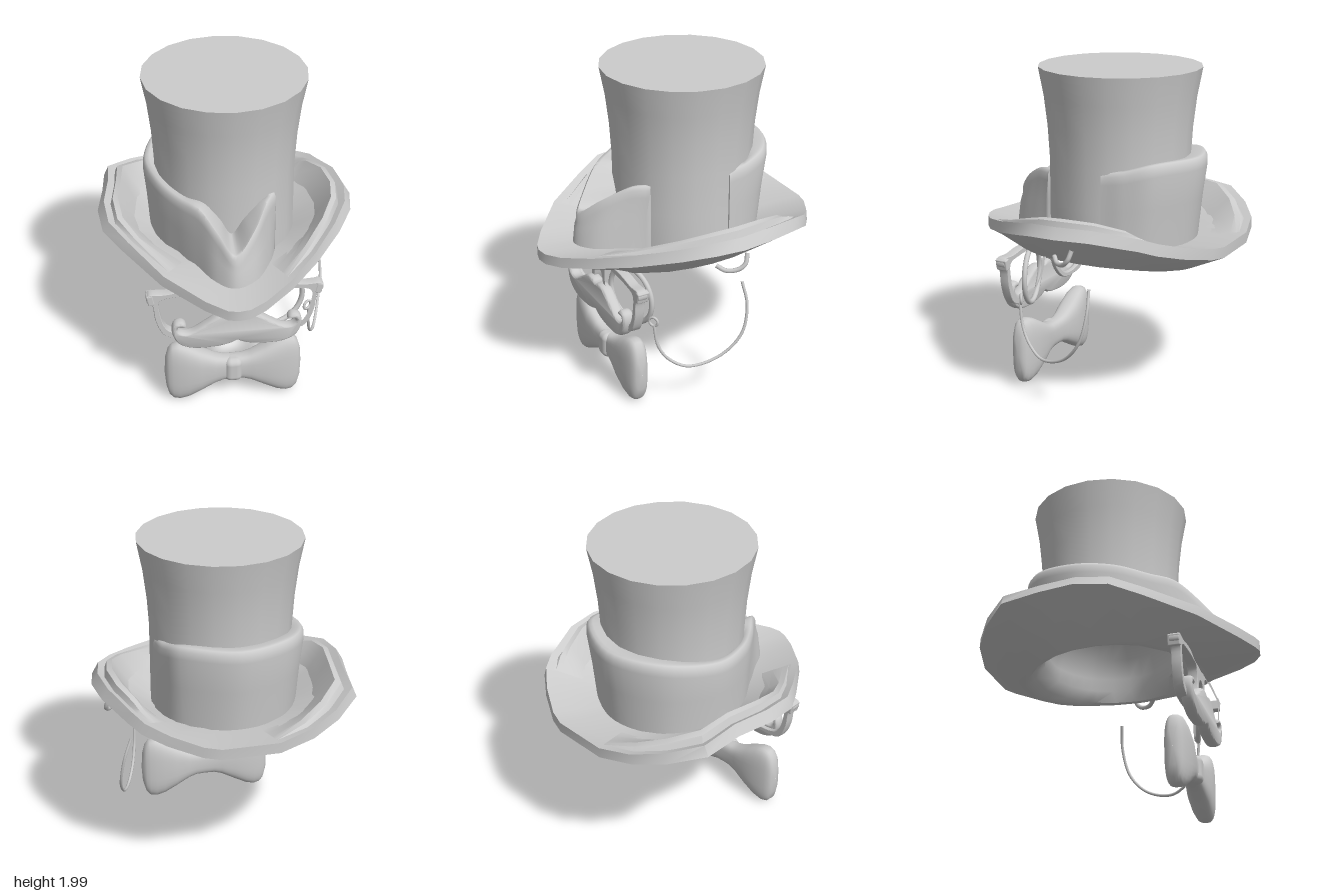
import * as THREE from 'three';
import { toCreasedNormals } from 'three/addons/utils/BufferGeometryUtils.js';
import { RoundedBoxGeometry } from 'three/addons/geometries/RoundedBoxGeometry.js';

const V = (x, y, z) => new THREE.Vector3(x, y, z);
const solid = new THREE.MeshStandardMaterial({ color: 0xcccccc });
const open = new THREE.MeshStandardMaterial({ color: 0xcccccc, side: THREE.DoubleSide });
const CZ = -0.09; // z of the crown axis

// Skin between rows of points that all have the same length
function loft(rows, closed, crease = 0.7) {
  const n = rows[0].length, index = [];
  const pos = rows.flatMap(r => r.flatMap(p => [p.x, p.y, p.z]));
  for (let i = 0; i < rows.length - 1; i++) {
    for (let j = 0; j < (closed ? n : n - 1); j++) {
      const a = i * n + j, b = i * n + (j + 1) % n, c = b + n, d = a + n;
      index.push(a, b, c, a, c, d);
    }
  }
  const g = new THREE.BufferGeometry();
  g.setAttribute('position', new THREE.Float32BufferAttribute(pos, 3));
  g.setIndex(index);
  return toCreasedNormals(g, crease);
}

// Mirrored smooth outline from half a profile (top centre to bottom centre)
function mirroredShape(half) {
  const pts = half.map(([x, y]) => new THREE.Vector2(x, y));
  const right = new THREE.SplineCurve(pts).getPoints(pts.length * 4);
  const left = right.slice(1, -1).reverse().map(p => new THREE.Vector2(-p.x, p.y));
  return new THREE.Shape([...right, ...left]);
}

export function createModel() {
  const model = new THREE.Group();
  const group = name => {
    const g = new THREE.Group();
    g.name = name;
    model.add(g);
    return g;
  };
  const add = (name, geo, mat = solid, parent = model) => {
    const m = new THREE.Mesh(geo, mat);
    m.name = name;
    parent.add(m);
    return m;
  };
  const tube = (pts, r, seg) =>
    new THREE.TubeGeometry(new THREE.CatmullRomCurve3(pts.map(p => V(...p))), seg, r, 8);

  const hat = group('hat');

  // Flared crown
  const crown = [[0.425, 0.97], [0.425, 1.2], [0.425, 1.45], [0.437, 1.65], [0.458, 1.83], [0.49, 2], [0, 2]]
    .map(([r, y]) => new THREE.Vector2(r, y));
  add('crown', toCreasedNormals(new THREE.LatheGeometry(crown, 20), 0.7), open, hat).position.z = CZ;

  // Brim edge as [x, z, y of the upper edge], from the front round by the left
  const edge = [
    [-0.04, 0.85, 0.98], [0.03, 0.84, 0.98], [0.13, 0.785, 0.99], [0.3, 0.66, 1.03], [0.48, 0.48, 1.08],
    [0.65, 0.27, 1.14], [0.75, 0.1, 1.18], [0.78, -0.07, 1.19], [0.75, -0.28, 1.19], [0.67, -0.46, 1.16],
    [0.64, -0.53, 1.15], [0.58, -0.62, 1.12], [0.45, -0.72, 1.08], [0.27, -0.82, 1.04], [0.17, -0.85, 1.03],
    [-0.17, -0.85, 1.03], [-0.38, -0.8, 1.07], [-0.56, -0.69, 1.11], [-0.72, -0.53, 1.16], [-0.74, -0.3, 1.19],
    [-0.78, -0.07, 1.19], [-0.76, 0.13, 1.17], [-0.65, 0.3, 1.13], [-0.45, 0.57, 1.06], [-0.22, 0.76, 1.0],
    [-0.1, 0.835, 0.98]];
  const around = fn => edge.map(([x, z, y]) => fn(Math.atan2(x, z - CZ), x, z, y));
  const oval = (rx, rz, cz, y, lift = 0) => around(a =>
    V(rx * Math.sin(a), y + lift * Math.sin(a) ** 2, cz + rz * Math.cos(a)));
  const inner = oval(0.42, 0.42, CZ, 0.975);
  const top = around((a, x, z, y) => V(x - 0.04 * Math.abs(Math.sin(a)) * Math.sin(a), y, z));
  add('brim', loft([
    oval(0.001, 0.001, CZ, 1.32), oval(0.16, 0.16, CZ, 1.31), oval(0.28, 0.28, CZ, 1.26), oval(0.36, 0.36, CZ, 1.16),
    oval(0.395, 0.395, CZ, 1.04), oval(0.405, 0.405, CZ, 0.96), oval(0.43, 0.49, -0.06, 0.89),
    oval(0.45, 0.54, -0.05, 0.85, 0.035), oval(0.475, 0.57, -0.05, 0.842, 0.058),
    around((a, x, z, y) => V(x, y - 0.065, z)), top,
    top.map((p, i) => p.clone().lerp(inner[i], 0.35)), inner
  ], true), open, hat);

  // Rolled folds lying on both sides of the brim, fading out at their ends
  for (const [from, to] of [[3, 11], [15, 23]]) {
    const row = (t, lift) => top.slice(from, to + 1).map((p, i) => {
      const q = p.clone().lerp(inner[from + i], t);
      q.y += 0.004 + lift * Math.sin(Math.PI * i / (to - from));
      return q;
    });
    add('brimFold', loft([row(0.12, -0.01), row(0.17, 0.05), row(0.27, 0.08), row(0.45, 0.03), row(0.62, -0.02)],
      false, 0.5), open, hat);
  }

  // Wrapped band with a pinched front: [angle, top y, top radius, bottom radius]
  const band = [
    [-258, 1.44, 0.43, 0.43], [-240, 1.46, 0.465, 0.45], [-220, 1.5, 0.51, 0.465], [-180, 1.5, 0.535, 0.48],
    [-140, 1.49, 0.52, 0.475], [-100, 1.44, 0.495, 0.46], [-70, 1.42, 0.47, 0.455], [-42, 1.39, 0.48, 0.47],
    [-24, 1.38, 0.53, 0.55], [-11, 1.28, 0.62, 0.67], [-2, 1.18, 0.7, 0.72], [9, 1.28, 0.62, 0.67],
    [23, 1.37, 0.5, 0.54], [36, 1.38, 0.44, 0.44]];
  const bandRow = fn => {
    const pts = band.map(b => {
      const [r, y] = fn(b), a = THREE.MathUtils.degToRad(b[0]);
      return V(r * Math.sin(a), y, CZ + r * Math.cos(a));
    });
    const row = new THREE.CatmullRomCurve3(pts).getPoints(78);
    const tuck = p => V(p.x * 0.92, p.y, CZ + (p.z - CZ) * 0.92);
    return [tuck(row[0]), ...row, tuck(row[78])];
  };
  add('hatBand', loft([
    bandRow(b => [b[3], 0.97]),
    bandRow(b => [(b[2] + b[3]) / 2, (b[1] + 0.97) / 2]),
    bandRow(b => [b[2], b[1] - 0.07]),
    bandRow(b => [b[2] - 0.003, b[1] - 0.025]),
    bandRow(b => [b[2] - 0.018, b[1] - 0.002]),
    bandRow(b => [b[2] - 0.04, b[1]]),
    bandRow(b => [0.41, b[1] - 0.02])
  ], false, 1.1), open, hat);

  // Hook under the brim
  add('cordHook', tube([[0.61, 0.97, 0.02], [0.65, 0.945, -0.02], [0.69, 0.955, -0.08],
    [0.705, 0.99, -0.12], [0.69, 1.05, -0.14]], 0.014, 20), solid, hat);

  // Spectacle frame with two lens openings
  const glasses = group('glasses');
  glasses.position.x = -0.008;
  const frame = mirroredShape([[0, 0.845], [0.05, 0.85], [0.1, 0.87], [0.3, 0.873], [0.42, 0.858], [0.51, 0.86],
    [0.525, 0.82], [0.49, 0.78], [0.475, 0.67], [0.43, 0.565], [0.35, 0.535], [0.2, 0.54], [0.11, 0.61],
    [0.065, 0.69], [0.045, 0.76], [0, 0.785]]);
  const lens = [[0.11, 0.835], [0.2, 0.845], [0.35, 0.84], [0.455, 0.815], [0.455, 0.72], [0.415, 0.6],
    [0.34, 0.56], [0.21, 0.562], [0.13, 0.625], [0.09, 0.71], [0.09, 0.8]];
  for (const s of [1, -1]) {
    const loop = new THREE.CatmullRomCurve3(lens.map(([x, y]) => V(s * x, y, 0)), true).getPoints(44);
    frame.holes.push(new THREE.Path(loop.slice(0, -1).map(p => new THREE.Vector2(p.x, p.y))));
    const hinge = add('hinge', new RoundedBoxGeometry(0.04, 0.07, 0.075, 2, 0.008), solid, glasses);
    hinge.position.set(s * 0.505, 0.823, 0.447);
    hinge.rotation.z = s * -0.2;
  }
  add('frame', toCreasedNormals(new THREE.ExtrudeGeometry(frame, {
    depth: 0.04, bevelThickness: 0.01, bevelSize: 0.004, bevelSegments: 2
  }).translate(0, 0, 0.432), 0.6), solid, glasses);

  // Monocle behind the left lens, with its cord
  const monocle = group('monocle');
  const rim = add('monocleRim', new THREE.TorusGeometry(0.177, 0.016, 10, 48), solid, monocle);
  rim.position.set(0.252, 0.7, 0.392);
  rim.rotation.y = 0.28;
  const ring = add('cordRing', new THREE.TorusGeometry(0.028, 0.008, 8, 24), solid, monocle);
  ring.position.set(0.455, 0.603, 0.35);
  ring.rotation.y = 0.6;
  add('cord', tube([[0.463, 0.58, 0.352], [0.472, 0.44, 0.33], [0.495, 0.34, 0.27], [0.54, 0.28, 0.16],
    [0.6, 0.33, -0.02], [0.638, 0.47, -0.15], [0.62, 0.65, -0.195], [0.572, 0.79, -0.185]], 0.009, 64), solid, monocle);

  // Moustache with curled tips
  const moustache = mirroredShape([[0, 0.675], [0.05, 0.69], [0.11, 0.682], [0.19, 0.63], [0.27, 0.58], [0.33, 0.575],
    [0.365, 0.605], [0.355, 0.635], [0.315, 0.635], [0.335, 0.657], [0.375, 0.645], [0.385, 0.585], [0.35, 0.51],
    [0.26, 0.47], [0.13, 0.47], [0.05, 0.485], [0, 0.51]]);
  add('moustache', toCreasedNormals(new THREE.ExtrudeGeometry(moustache, {
    depth: 0.01, bevelThickness: 0.03, bevelSize: 0.014, bevelOffset: -0.006, bevelSegments: 5
  }).translate(0, 0, 0.476), 0.9));

  // Bow tie wings from rounded cross-sections: [x, half height, half depth]
  const bow = group('bowTie');
  bow.position.set(-0.013, 0.22, 0.408);
  const half = [[0, 0.083, 0.055], [0.06, 0.085, 0.056], [0.11, 0.1, 0.062], [0.2, 0.15, 0.076], [0.28, 0.195, 0.076],
    [0.335, 0.212, 0.069], [0.375, 0.204, 0.06], [0.4, 0.175, 0.05], [0.418, 0.11, 0.035], [0.427, 0.001, 0.001]];
  const sections = [...half.slice(1).reverse().map(([x, h, d]) => [-x, h, d]), ...half];
  const round = v => Math.sign(v) * Math.abs(v) ** 0.65;
  add('bowWings', loft(sections.map(([x, h, d]) => Array.from({ length: 32 }, (_, j) => {
    const a = j / 32 * Math.PI * 2;
    return V(x, h * round(Math.cos(a)), d * round(Math.sin(a)));
  })), true, 1.2), solid, bow);
  add('bowKnot', new RoundedBoxGeometry(0.11, 0.168, 0.11, 5, 0.04), solid, bow).position.z = 0.015;

  return model;
}
